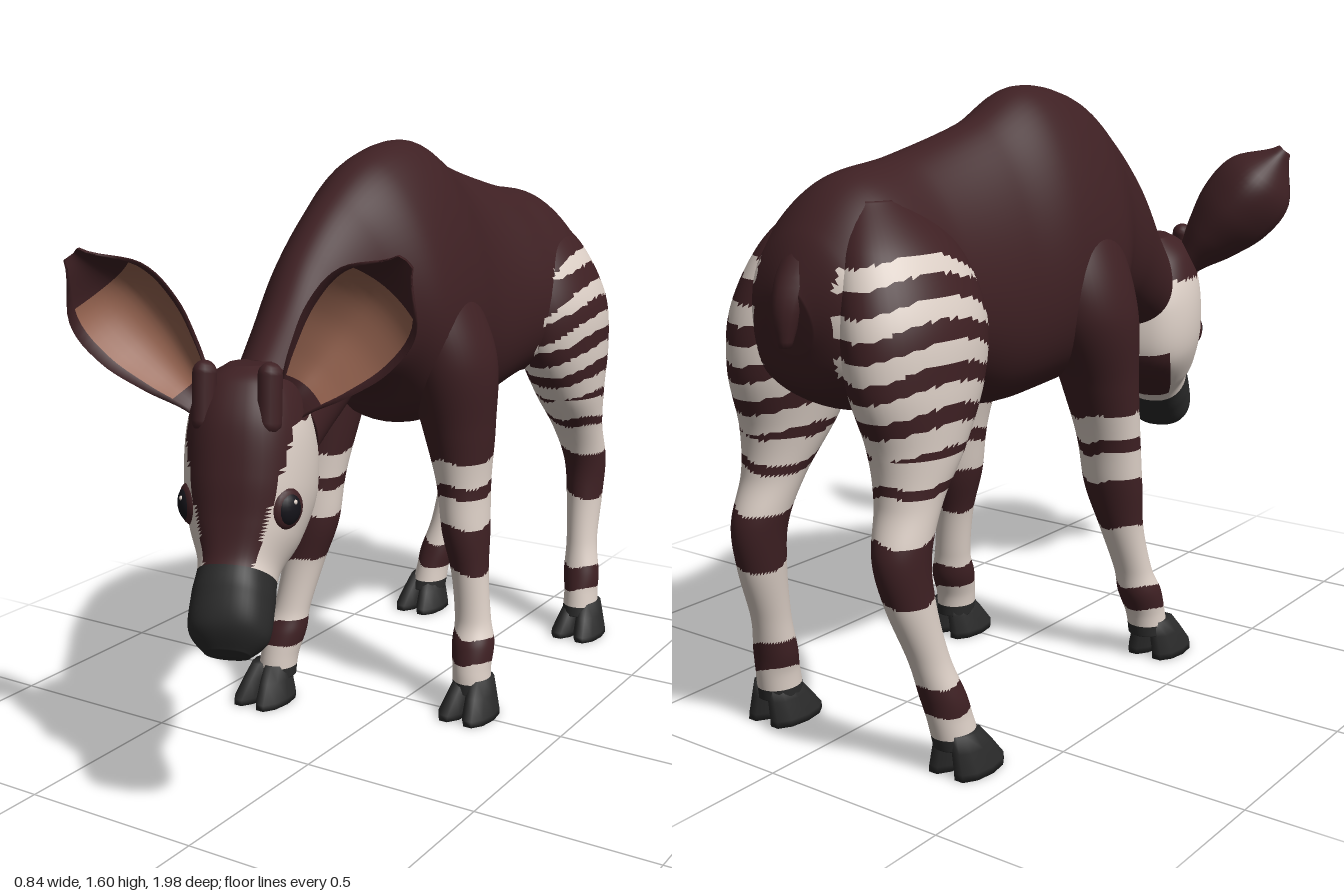
import * as THREE from 'three';

const mat = (name, color) => {
  const m = new THREE.MeshStandardMaterial({ color });
  m.name = name;
  return m;
};
const COAT = 0, CREAM = 1, HOOF = 2, EAR = 3, EYE = 4;
const palette = [
  mat('maroon coat', 0x3e2023), mat('cream', 0xdccfc6), mat('charcoal', 0x2a2a2a),
  mat('inner ear pink', 0x986551), mat('eye black', 0x15141a),
];

// Smoothly resample a short table of section rows to n+1 rows
function resample(rows, n) {
  return Array.from({ length: n + 1 }, (_, k) => {
    const f = (k / n) * (rows.length - 1);
    const i = Math.min(Math.floor(f), rows.length - 2), t = f - i;
    const at = (q) => rows[Math.max(0, Math.min(rows.length - 1, q))];
    return rows[0].map((_, c) => {
      const a = at(i - 1)[c], b = at(i)[c], d = at(i + 1)[c], e = at(i + 2)[c];
      const m0 = (d - a) / 2, m1 = (e - b) / 2;
      return b + t * m0 + t * t * (3 * (d - b) - 2 * m0 - m1) + t * t * t * (2 * (b - d) + m0 + m1);
    });
  });
}

// Skin closed rings, cap both ends and sort faces into colour groups
function loft(name, rings, colorOf) {
  const n = rings[0].length, pts = rings.flat(), tris = [];
  const add = (a, b, c, i, j) => tris.push([a, b, c, i, j]);
  for (let i = 0; i < rings.length - 1; i++) {
    for (let j = 0; j < n; j++) {
      const a = i * n + j, b = i * n + ((j + 1) % n);
      add(a, b, a + n, i, j);
      add(b, b + n, a + n, i, j);
    }
  }
  for (const i of [0, rings.length - 1]) {
    const mid = pts.length, o = i * n;
    pts.push(rings[i].reduce((s, p) => s.add(p), new THREE.Vector3()).divideScalar(n));
    for (let j = 0; j < n; j++) {
      const a = o + j, b = o + ((j + 1) % n);
      i === 0 ? add(b, a, mid, i, j) : add(a, b, mid, i, j);
    }
  }
  let volume = 0;
  const tmp = new THREE.Vector3(), buckets = palette.map(() => []);
  for (const [a, b, c] of tris) volume += pts[a].dot(tmp.crossVectors(pts[b], pts[c]));
  for (const [a, b, c, i, j] of tris) {
    const mid = new THREE.Vector3().add(pts[a]).add(pts[b]).add(pts[c]).divideScalar(3);
    buckets[colorOf(mid, i, j)].push(...(volume > 0 ? [a, b, c] : [a, c, b]));
  }
  const g = new THREE.BufferGeometry().setFromPoints(pts);
  g.setIndex(buckets.flat());
  let start = 0;
  buckets.forEach((l, k) => {
    if (l.length) g.addGroup(start, l.length, k);
    start += l.length;
  });
  g.computeVertexNormals();
  const mesh = new THREE.Mesh(g, palette);
  mesh.name = name;
  return mesh;
}

// Section between an upper and a lower edge point: [topZ, topY, lowZ, lowY, centreX, halfWidth]
const slab = (peak, power, n) => ([tz, ty, bz, by, cx, hw]) => Array.from({ length: n }, (_, j) => {
  const a = (j / n) * Math.PI * 2, c = Math.cos(a), s = Math.sin(a), k = (1 + c) / 2;
  const x = Math.sign(s) * Math.abs(s) ** power * hw * (1 - peak * c);
  return new THREE.Vector3(cx + x, by + (ty - by) * k, bz + (tz - bz) * k);
});

// Level section: [y, x, z, radiusX, radiusZ]
const level = (n) => ([y, x, z, rx, rz]) => Array.from({ length: n }, (_, j) => {
  const a = (j / n) * Math.PI * 2;
  return new THREE.Vector3(x + rx * Math.cos(a), y, z + rz * Math.sin(a));
});

const inBands = (y, bands) => bands.some(([lo, hi]) => y > lo && y < hi);
const wave = (p) => p.y + 0.01 * Math.sin(p.x * 40 + p.z * 25);

function frontColor(p) {
  if (p.y < 0.1) return HOOF;
  return inBands(wave(p), [[0, 0.16], [0.23, 0.41], [0.545, 0.625], [0.66, 0.73]]) ? CREAM : COAT;
}

// Arched stripes tapering forward over the haunch, rings lower down
function hindColor(p) {
  if (p.y < 0.1) return HOOF;
  if (p.y < 0.79) return inBands(wave(p), [[0, 0.155], [0.23, 0.45], [0.6, 0.7], [0.725, 0.79]]) ? CREAM : COAT;
  const h = p.y + 1.3 * (p.z + 0.76) ** 2;
  const inset = -0.515 - 0.4 * Math.max(0, p.y - 1.05) - p.z;
  if (h > 1.25 || inset < 0) return COAT;
  const f = (1.25 - h) / 0.095;
  const share = 0.44 + 0.05 * Math.floor(f) - Math.max(0, 0.3 - 4 * inset);
  return Math.abs((f % 1) - 0.25) < share / 2 ? CREAM : COAT;
}

function addLeg(parent, name, rows, color, [hx, hz]) {
  const leg = new THREE.Group();
  leg.name = name;
  leg.add(loft('limb', resample(rows, 160).map(level(48)), color));
  // Cloven hoof, wedge shaped towards the toe
  for (const k of [-1, 1]) {
    const toe = [
      [0.11, hx + k * 0.022, hz - 0.034, 0.031, 0.047],
      [0.07, hx + k * 0.029, hz - 0.018, 0.036, 0.065],
      [0.02, hx + k * 0.038, hz, 0.041, 0.085],
      [0.003, hx + k * 0.039, hz, 0.041, 0.086],
    ];
    leg.add(loft('toe', toe.map(level(10)), () => HOOF));
  }
  parent.add(leg);
}

function buildHead() {
  const head = new THREE.Group();
  head.name = 'head';
  const rows = [
    [0.05, 1.13, -0.08, 1.12, 0, 0.05], [0.1, 1.1, -0.15, 1.04, 0, 0.115],
    [0.15, 1.02, -0.2, 0.9, 0, 0.15], [0.18, 0.9, -0.19, 0.75, 0, 0.155],
    [0.195, 0.8, -0.08, 0.65, 0, 0.13], [0.215, 0.72, 0.03, 0.595, 0, 0.095],
    [0.25, 0.66, 0.1, 0.53, 0, 0.098], [0.28, 0.58, 0.16, 0.475, 0, 0.095],
    [0.265, 0.51, 0.21, 0.462, 0, 0.055],
  ];
  // Dark blaze and throat patch, pale cheeks, charcoal muzzle
  const skin = (p, i, j) => {
    if (i >= 58) return HOOF;
    if (p.y > 1.0) return COAT;
    if (i > 30 && i < 53 && Math.abs(j - 23.5) < 4) return COAT;
    return p.z > 0.085 && Math.abs(p.x) < 0.06 + 0.25 * (p.y - 0.7) ? COAT : CREAM;
  };
  head.add(loft('skull', resample(rows, 88).map(slab(0, 0.8, 48)), skin));

  for (const s of [-1, 1]) {
    // Cupped ear, broad towards the tip and fuller on its lower edge
    const steps = 24, half = 16;
    const widths = resample([[0.045], [0.1], [0.14], [0.13], [0.025]], steps);
    const rings = widths.map(([w], i) => Array.from({ length: half * 2 }, (_, j) => {
      const back = j >= half;
      const u = back ? 1 - (2 * (j - half + 0.5)) / half : -1 + (2 * (j + 0.5)) / half;
      const l = (0.46 * i) / steps, side = w * u * (u < 0 ? 0.87 : 1);
      const z = 0.035 + 0.13 * l - 0.78 * w * (1 - u * u) - (back ? 0.018 : 0);
      return new THREE.Vector3(s * (0.1 + 0.63 * l + 0.77 * side), 1.03 + 0.775 * l - 0.64 * side, z);
    }));
    head.add(loft(s > 0 ? 'leftEar' : 'rightEar', rings,
      (p, i, j) => (j > 0 && j < half - 2 && i > 2 && i < 19 ? EAR : COAT)));

    // Short horn
    const horn = new THREE.Mesh(new THREE.CapsuleGeometry(0.03, 0.11, 5, 10), palette[COAT]);
    horn.name = 'horn';
    horn.position.set(s * 0.078, 1.065, 0.1);
    horn.rotation.x = -0.15;
    head.add(horn);

    // Eye: dark lid, black eyeball and a small glint
    const eye = new THREE.Group();
    eye.name = 'eye';
    eye.position.set(s * 0.118, 0.81, 0.118);
    eye.rotation.y = s * 0.95;
    const part = (name, m, [x, y, z], [rx, ry, rz]) => {
      const ball = new THREE.Mesh(new THREE.SphereGeometry(1, 18, 12), palette[m]);
      ball.name = name;
      ball.position.set(x, y, z);
      ball.scale.set(rx, ry, rz);
      eye.add(ball);
    };
    part('eyelid', COAT, [0, 0, 0], [0.046, 0.05, 0.02]);
    part('eyeball', EYE, [0, 0, 0.003], [0.036, 0.041, 0.023]);
    part('glint', CREAM, [0.008, 0.018, 0.021], [0.006, 0.006, 0.005]);
    head.add(eye);
  }
  head.position.z = 0.72;
  head.rotation.y = 0.37;
  return head;
}

export function createModel() {
  const model = new THREE.Group();
  model.name = 'stripedLegCalf';

  // Trunk and lowered neck, the haunch stripes running onto the flanks
  const trunk = [
    [-0.955, 1.18, -0.935, 1.02, -0.045, 0.07], [-0.895, 1.3, -0.9, 0.93, -0.045, 0.19],
    [-0.77, 1.41, -0.77, 0.86, -0.045, 0.25], [-0.56, 1.45, -0.56, 0.86, -0.05, 0.23],
    [-0.32, 1.52, -0.36, 0.8, -0.08, 0.22], [-0.13, 1.6, -0.18, 0.8, -0.085, 0.24],
    [0.08, 1.57, 0, 0.83, -0.085, 0.24], [0.25, 1.47, 0.12, 0.94, -0.085, 0.185],
    [0.4, 1.35, 0.27, 0.95, -0.075, 0.155], [0.53, 1.23, 0.43, 0.9, -0.045, 0.14],
    [0.68, 1.12, 0.58, 0.85, -0.005, 0.125],
  ];
  const flank = (p) => (p.z < -0.5 && p.y > 0.95 && Math.abs(p.x + 0.045) > 0.12 ? hindColor(p) : COAT);
  model.add(loft('body', resample(trunk, 130).map(slab(0.23, 1, 64)), flank));

  // Tail stub lying against the rump
  const tail = [[1.32, -0.045, -0.83, 0.06, 0.04], [1.2, -0.045, -0.91, 0.05, 0.05],
    [1.12, -0.05, -0.95, 0.035, 0.035], [1.04, -0.05, -0.96, 0.014, 0.016]];
  model.add(loft('tail', resample(tail, 12).map(level(12)), () => COAT));

  model.add(buildHead());

  // Front legs, each with its shoulder
  addLeg(model, 'leftFrontLeg', [
    [0.07, 0.205, -0.03, 0.055, 0.058], [0.13, 0.2, -0.035, 0.054, 0.058], [0.2, 0.193, -0.055, 0.06, 0.062],
    [0.27, 0.183, -0.07, 0.052, 0.05], [0.4, 0.168, -0.077, 0.053, 0.055], [0.52, 0.15, -0.085, 0.066, 0.078],
    [0.66, 0.135, -0.095, 0.075, 0.088], [0.82, 0.118, -0.095, 0.1, 0.115], [1.02, 0.095, -0.08, 0.125, 0.15],
    [1.2, 0.05, -0.06, 0.1, 0.14], [1.36, 0.0, -0.05, 0.05, 0.08],
  ], frontColor, [0.212, 0]);
  addLeg(model, 'rightFrontLeg', [
    [0.07, -0.34, 0.165, 0.055, 0.058], [0.13, -0.335, 0.155, 0.054, 0.058], [0.2, -0.328, 0.132, 0.06, 0.062],
    [0.27, -0.318, 0.11, 0.053, 0.052], [0.4, -0.3, 0.075, 0.062, 0.06], [0.52, -0.285, 0.055, 0.083, 0.072],
    [0.66, -0.28, 0.035, 0.09, 0.08], [0.82, -0.272, 0, 0.106, 0.105], [1.02, -0.265, -0.05, 0.125, 0.15],
    [1.2, -0.23, -0.06, 0.105, 0.14], [1.36, -0.17, -0.05, 0.05, 0.08],
  ], frontColor, [-0.35, 0.212]);

  // Hind legs with haunches: [y, offsetX, frontZ, backZ, radiusX]
  const hind = [
    [0.07, 0.262, -0.695, -0.82, 0.055], [0.14, 0.258, -0.71, -0.83, 0.052], [0.2, 0.252, -0.725, -0.838, 0.056],
    [0.3, 0.24, -0.752, -0.858, 0.048], [0.44, 0.23, -0.772, -0.905, 0.055], [0.56, 0.225, -0.768, -0.922, 0.064],
    [0.68, 0.215, -0.715, -0.885, 0.078], [0.8, 0.205, -0.62, -0.89, 0.102], [0.95, 0.19, -0.53, -0.935, 0.125],
    [1.1, 0.17, -0.505, -0.935, 0.132], [1.25, 0.125, -0.54, -0.885, 0.105], [1.36, 0.07, -0.64, -0.8, 0.05],
  ];
  for (const s of [1, -1]) {
    // The right hoof stands a little forward and outward
    const step = (y) => (s < 0 ? Math.max(0, 1 - y / 0.6) : 0);
    const rows = hind.map(([y, x, f, b, rx]) =>
      [y, -0.055 + s * x - 0.025 * step(y), (f + b) / 2 + 0.045 * step(y), rx, (f - b) / 2]);
    addLeg(model, s > 0 ? 'leftHindLeg' : 'rightHindLeg', rows, hindColor,
      [-0.055 + s * 0.268 - 0.025 * step(0), -0.737 + 0.045 * step(0)]);
  }
  return model;
}
